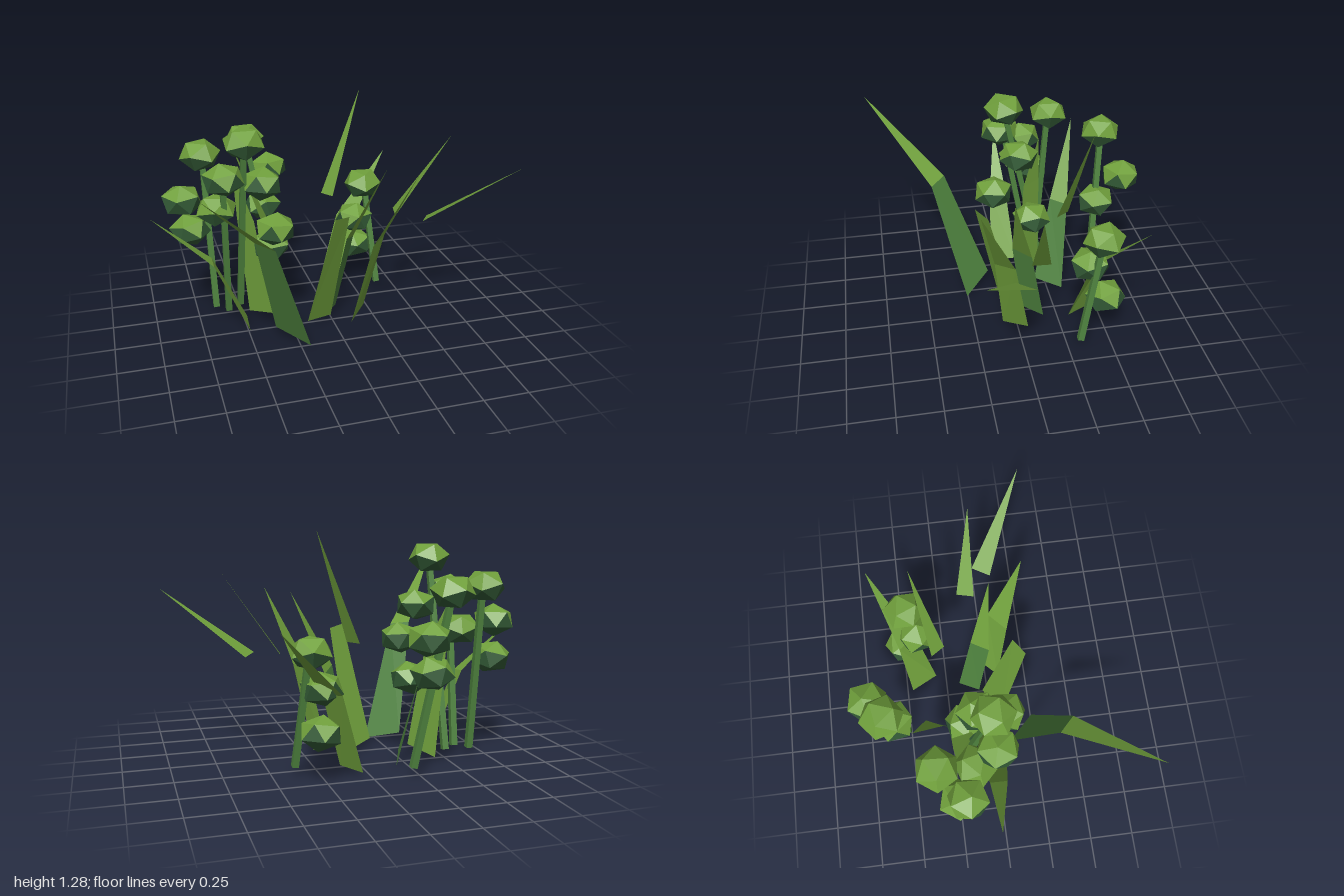
import * as THREE from 'three';

const leafGreen = new THREE.MeshStandardMaterial({ name: 'leaf green', color: 0x70a03c, side: THREE.DoubleSide, flatShading: true });
const deepGreen = new THREE.MeshStandardMaterial({ name: 'deep green', color: 0x4e823e, side: THREE.DoubleSide, flatShading: true });
const shadeGreen = new THREE.MeshStandardMaterial({ name: 'bud underside green', color: 0x345c37, flatShading: true });

// Flat polygon (triangle or quad) as a thin leaf face
function face(name, points, material) {
  const geometry = new THREE.BufferGeometry();
  geometry.setAttribute('position', new THREE.Float32BufferAttribute(points.flat(), 3));
  geometry.setIndex(points.length === 4 ? [0, 1, 2, 0, 2, 3] : [0, 1, 2]);
  geometry.computeVertexNormals();
  const mesh = new THREE.Mesh(geometry, material);
  mesh.name = name;
  return mesh;
}

// Blade: optional lower quad (base pair to bend pair) and optional pointed tip
function blade({ base, bend, tip, lower = leafGreen }) {
  const group = new THREE.Group();
  group.name = 'blade';
  if (base) group.add(face('bladeLower', [base[0], base[1], bend[1], bend[0]], lower));
  if (tip) group.add(face('bladeTip', [bend[0], bend[1], tip], leafGreen));
  return group;
}

// Faceted bud: squashed icosahedron with a darker lower half
function bud([x, y, z], i) {
  const geometry = new THREE.IcosahedronGeometry(0.12, 0);
  geometry.rotateX(0.35 + 0.5 * (i % 3)).rotateY(i * 1.3).scale(1, 0.78, 1);
  const p = geometry.attributes.position;
  for (let f = 0; f < p.count; f += 3) {
    const mid = (p.getY(f) + p.getY(f + 1) + p.getY(f + 2)) / 3;
    geometry.addGroup(f, 3, mid < 0.012 ? 1 : 0);
  }
  geometry.computeVertexNormals();
  const mesh = new THREE.Mesh(geometry, [leafGreen, shadeGreen]);
  mesh.position.set(x, y, z);
  mesh.name = 'bud';
  return mesh;
}

// Thin square stem between two points
function stem(from, to) {
  const a = new THREE.Vector3(...from), b = new THREE.Vector3(...to);
  const dir = b.clone().sub(a);
  const geometry = new THREE.CylinderGeometry(0.022, 0.025, dir.length(), 4).rotateY(Math.PI / 4);
  const mesh = new THREE.Mesh(geometry, deepGreen);
  mesh.position.copy(a).add(b).multiplyScalar(0.5);
  mesh.quaternion.setFromUnitVectors(new THREE.Vector3(0, 1, 0), dir.normalize());
  mesh.name = 'stem';
  return mesh;
}

export function createModel() {
  const model = new THREE.Group();
  model.name = 'plant';

  const blades = [
    // large front blade
    { base: [[-0.36, 0.065, 0.1], [-0.195, 0.005, 0.255]], bend: [[-0.505, 0.7, 0.335], [-0.415, 0.68, 0.42]], tip: [-0.82, 1.12, 0.77], lower: deepGreen },
    // low blade on the right
    { base: [[-0.49, 0.05, -0.1], [-0.5, 0.04, 0.06]], bend: [[-0.68, 0.46, -0.07], [-0.68, 0.45, 0.03]], tip: [-1.0, 0.74, -0.045] },
    // broad cut blade in the middle
    { base: [[-0.165, 0.055, 0.07], [0, 0.02, -0.03]], bend: [[-0.04, 0.725, 0.21], [0.055, 0.71, 0.15]] },
    // two blades leaning left
    { base: [[0.095, 0.015, 0.08], [0.21, 0.05, -0.05]], bend: [[0.2, 0.51, 0.14], [0.3, 0.53, 0.04]], tip: [0.42, 0.95, 0.24] },
    { base: [[0, 0.04, -0.05], [0.07, 0.005, -0.17]], bend: [[0.08, 0.52, 0.02], [0.15, 0.49, -0.08]], tip: [0.31, 0.935, 0.045], lower: deepGreen },
    // back left blade
    { base: [[0.13, 0.035, -0.31], [0.05, 0.035, -0.465]], bend: [[0.25, 0.45, -0.4], [0.17, 0.46, -0.5]], tip: [0.52, 0.82, -0.63] },
    // back right blade
    { base: [[-0.18, 0.005, -0.34], [-0.25, 0.05, -0.18]], bend: [[-0.3, 0.54, -0.385], [-0.35, 0.56, -0.29]], tip: [-0.495, 1.02, -0.44], lower: deepGreen },
    // upright blade among the buds
    { base: [[-0.45, 0.005, -0.24], [-0.34, 0.05, -0.09]], bend: [[-0.5, 0.62, -0.25], [-0.42, 0.62, -0.14]], tip: [-0.515, 0.9, -0.25] },
    // free tips
    { bend: [[0.02, 0.69, -0.31], [0.07, 0.69, -0.235]], tip: [0.27, 1.29, -0.37] },
    { bend: [[0.515, 0.605, 0.08], [0.58, 0.595, -0.02]], tip: [1.0, 0.95, 0.3] },
    { bend: [[0.39, 0.61, -0.03], [0.41, 0.62, -0.13]], tip: [0.71, 1.07, -0.02] },
  ];
  blades.forEach((b) => model.add(blade(b)));

  const buds = [
    [-0.48, 1.12, -0.03], [-0.6, 0.93, -0.02], [-0.375, 0.86, -0.1], [-0.63, 0.72, -0.14], [-0.34, 0.65, 0.06], [-0.32, 0.46, -0.17],
    [-0.68, 0.98, -0.34], [-0.81, 0.77, -0.2], [-0.77, 0.57, -0.25],
    [-0.38, 0.98, -0.59], [-0.22, 0.76, -0.68], [-0.29, 0.56, -0.56],
    [0.32, 0.68, -0.44], [0.25, 0.48, -0.39], [0.28, 0.27, -0.48],
  ];
  buds.forEach((b, i) => model.add(bud(b, i)));

  const stems = [
    [[-0.5, 0.055, -0.26], [-0.48, 1.07, -0.04]],
    [[-0.645, 0.055, -0.26], [-0.67, 0.93, -0.33]],
    [[-0.58, 0.055, -0.2], [-0.6, 0.88, -0.05]],
    [[-0.21, 0.055, -0.515], [-0.37, 0.93, -0.59]],
    [[0.38, 0.055, -0.32], [0.33, 0.65, -0.43]],
  ];
  stems.forEach(([a, b]) => model.add(stem(a, b)));

  return model;
}
